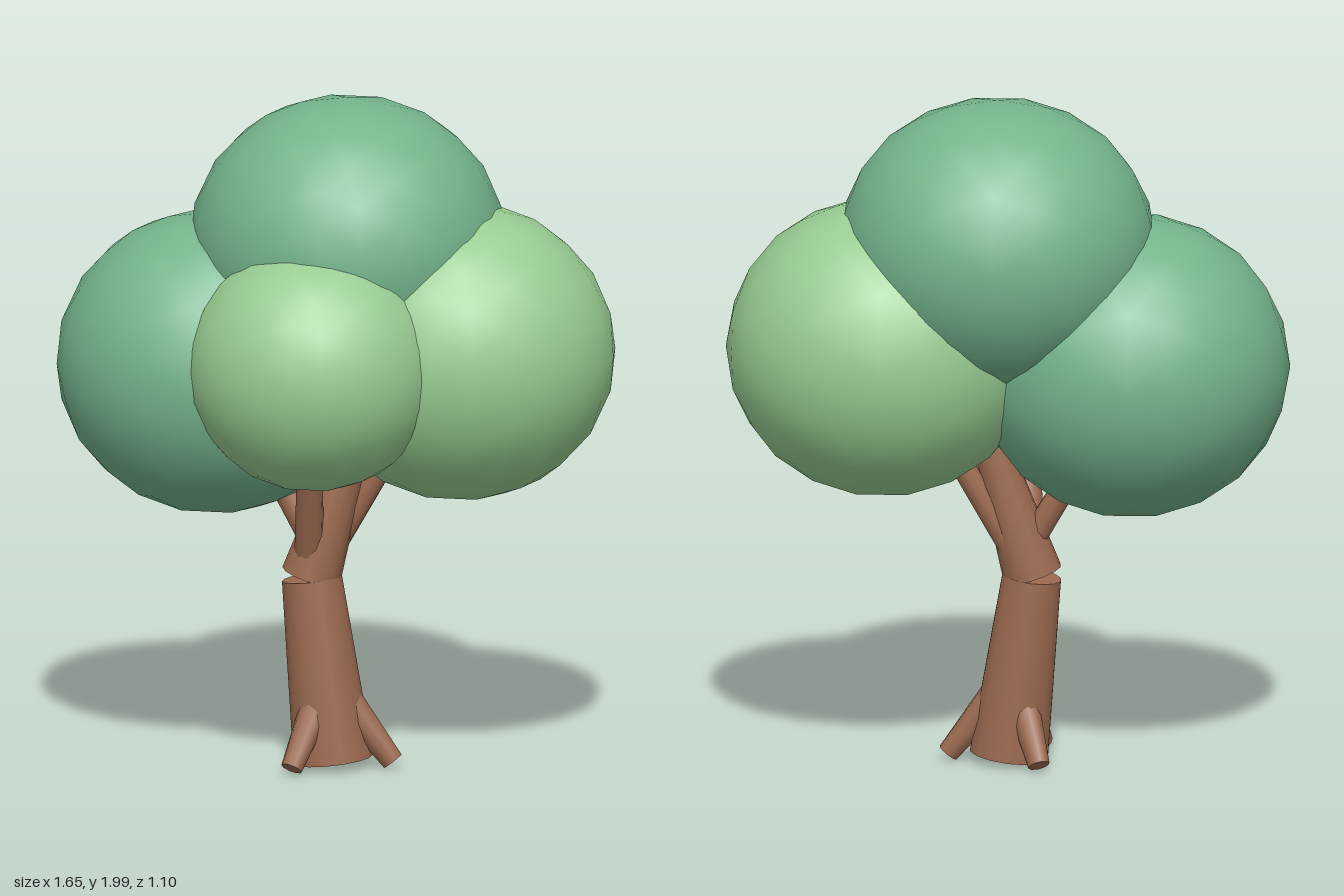
import * as THREE from 'three';

const bark = new THREE.MeshStandardMaterial({ color: 0x9c6a50 });
const darkLeaf = new THREE.MeshStandardMaterial({ color: 0x74b48c });
const lightLeaf = new THREE.MeshStandardMaterial({ color: 0x98cc92 });

// Tapered round limb between two points
function limb(name, from, to, r0, r1, sides) {
  const a = new THREE.Vector3(...from);
  const b = new THREE.Vector3(...to);
  const dir = b.clone().sub(a);
  const mesh = new THREE.Mesh(new THREE.CylinderGeometry(r1, r0, dir.length(), sides), bark);
  mesh.position.copy(a).add(b).multiplyScalar(0.5);
  mesh.quaternion.setFromUnitVectors(new THREE.Vector3(0, 1, 0), dir.normalize());
  mesh.name = name;
  return mesh;
}

// Smooth, slightly squashed ball of leaves
function foliage(name, material, center, radii) {
  const geometry = new THREE.IcosahedronGeometry(1, 3);
  const mesh = new THREE.Mesh(geometry, material);
  mesh.position.set(...center);
  mesh.scale.set(...radii);
  mesh.name = name;
  return mesh;
}

export function createModel() {
  const tree = new THREE.Group();
  tree.name = 'tree';

  // Trunk in two leaning sections
  tree.add(limb('lowerTrunk', [-0.003, 0.028, -0.06], [-0.07, 0.565, -0.075], 0.117, 0.088, 14));
  tree.add(limb('upperTrunk', [-0.072, 0.572, -0.075], [0.06, 1.0, -0.085], 0.088, 0.05, 14));

  // Branches reaching into the crown
  tree.add(limb('leftBranch', [-0.01, 0.66, -0.1], [0.2, 1.02, -0.1], 0.038, 0.034, 10));
  tree.add(limb('rightBranch', [-0.06, 0.66, -0.085], [-0.22, 0.93, -0.11], 0.04, 0.034, 10));
  tree.add(limb('frontBranch', [-0.07, 0.65, -0.04], [-0.045, 0.98, 0.08], 0.044, 0.036, 10));

  // Three roots spread around the base
  for (let i = 0; i < 3; i++) {
    const angle = (i * Math.PI * 2) / 3;
    const c = Math.cos(angle), s = Math.sin(angle);
    const root = limb('root' + (i + 1),
      [-0.015 + 0.055 * c, 0.2, -0.06 + 0.055 * s],
      [-0.005 + 0.18 * c, 0.03, -0.06 + 0.18 * s], 0.048, 0.032, 10);
    tree.add(root);
  }

  // Crown
  tree.add(foliage('topFoliage', darkLeaf, [0.03, 1.565, -0.11], [0.465, 0.435, 0.44]));
  tree.add(foliage('rightFoliage', darkLeaf, [-0.36, 1.2, -0.075], [0.465, 0.447, 0.437]));
  tree.add(foliage('leftFoliage', lightLeaf, [0.363, 1.258, -0.105], [0.46, 0.44, 0.425]));
  tree.add(foliage('frontFoliage', lightLeaf, [-0.01, 1.257, 0.2], [0.372, 0.364, 0.35]));

  return tree;
}
